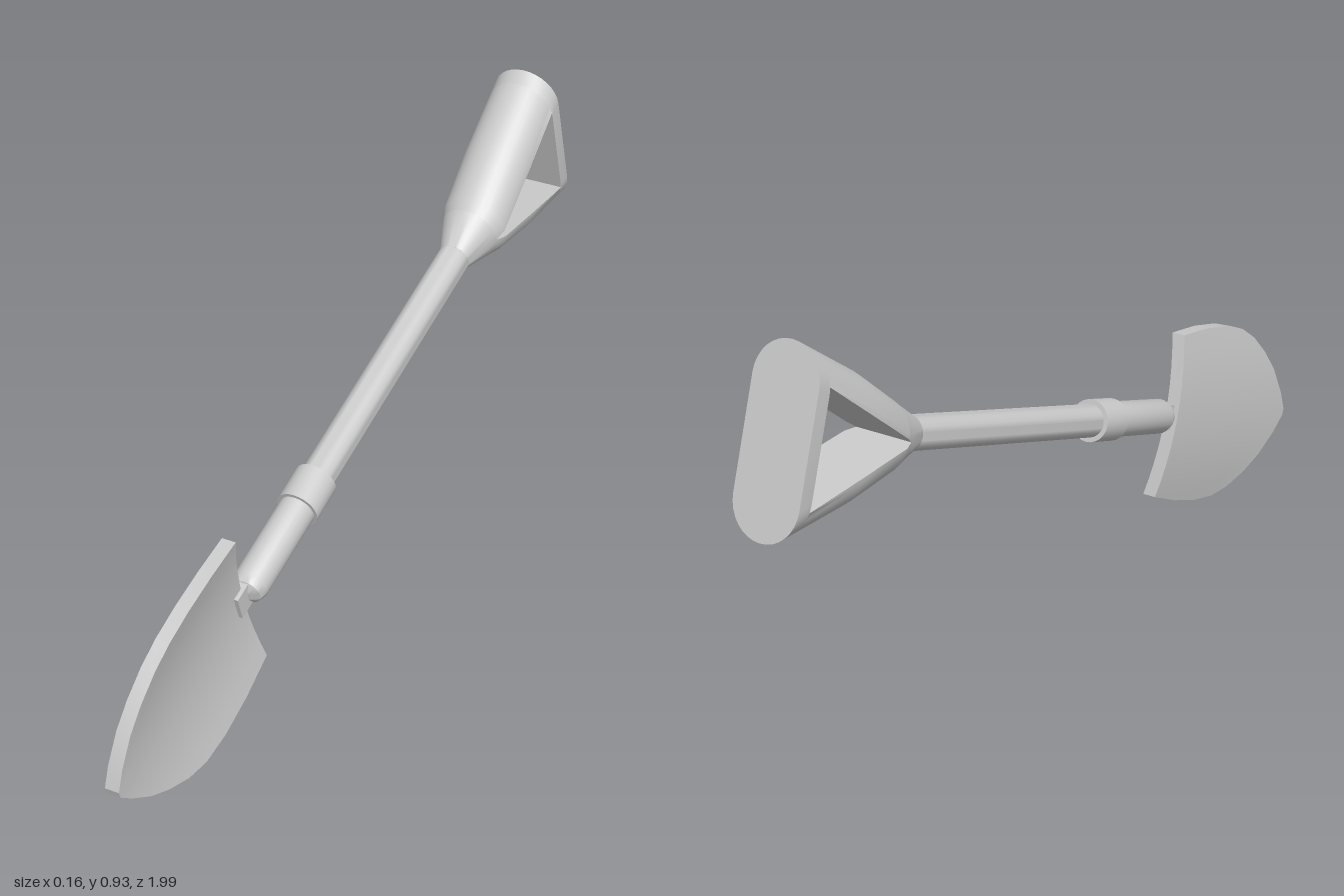
import * as THREE from 'three';
import { toCreasedNormals } from 'three/addons/utils/BufferGeometryUtils.js';

const material = new THREE.MeshStandardMaterial({ color: 0xcccccc });

function addMesh(parent, name, geometry, crease = 0.6) {
  const mesh = new THREE.Mesh(toCreasedNormals(geometry, crease), material);
  mesh.name = name;
  parent.add(mesh);
  return mesh;
}

// Skin equal-length rings of [x, y, z], counter-clockwise seen from +z, with z rising.
function loft(rings) {
  const n = rings[0].length;
  const index = [];
  for (let i = 0; i < rings.length - 1; i++) {
    for (let j = 0; j < n; j++) {
      const k = (j + 1) % n;
      const a = i * n + j, b = i * n + k, c = a + n, d = b + n;
      index.push(a, b, c, b, d, c);
    }
  }
  // caps: strips between opposite points of the ring
  const last = (rings.length - 1) * n;
  for (let j = 0; j < n / 2 - 1; j++) {
    const a = j, b = j + 1, c = n - 2 - j, d = n - 1 - j;
    index.push(a, c, b, a, d, c);
    index.push(last + a, last + b, last + c, last + a, last + c, last + d);
  }
  const geometry = new THREE.BufferGeometry();
  geometry.setAttribute('position', new THREE.Float32BufferAttribute(rings.flat(2), 3));
  geometry.setIndex(index);
  return geometry;
}

// Surface of revolution about the shovel's long axis: points are [radius, z].
function turned(points) {
  return new THREE.LatheGeometry(points.map(p => new THREE.Vector2(...p)), 24).rotateX(Math.PI / 2);
}

// Grip outline: z, half width, half height
const GRIP = [
  [-0.979, 0.082, 0.202], [-0.786, 0.082, 0.14], [-0.65, 0.08, 0.083],
  [-0.625, 0.07, 0.072], [-0.54, 0.038, 0.038],
];
const HOLE_FRONT = -0.625, HOLE_BACK = -0.943, HOLE_HALF = 0.123;

function gripSize(z) {
  let i = 0;
  while (i < GRIP.length - 2 && z > GRIP[i + 1][0]) i++;
  const [z0, a0, h0] = GRIP[i], [z1, a1, h1] = GRIP[i + 1];
  const t = (z - z0) / (z1 - z0);
  return [a0 + (a1 - a0) * t, h0 + (h1 - h0) * t];
}

// Rounded upper half of a grip section, from +x over the top to -x
function arch(z) {
  const [a, h] = gripSize(z);
  const cap = Math.min(a, h);
  const points = [];
  for (let i = 0; i <= 16; i++) {
    const t = Math.PI * i / 16;
    points.push([a * Math.cos(t), h - cap + cap * Math.sin(t), z]);
  }
  return points;
}

const fullSection = z => [...arch(z), ...arch(z).map(([x, y]) => [-x, -y, z])];

function legSection(z) {
  const a = gripSize(z)[0];
  const inner = HOLE_HALF * (HOLE_FRONT - z) / (HOLE_FRONT - HOLE_BACK);
  const top = arch(z).map(([x, y]) => [x, Math.max(y, inner), z]);
  return [[a, inner, z], ...top, [-a, inner, z], [0, inner, z]];
}

function buildGrip() {
  const grip = new THREE.Group();
  grip.name = 'grip';
  addMesh(grip, 'gripNeck', loft([HOLE_FRONT, -0.54].map(fullSection)));
  addMesh(grip, 'gripBar', loft([-0.979, HOLE_BACK].map(fullSection)));
  const leg = loft([HOLE_BACK, -0.786, -0.65, HOLE_FRONT].map(legSection));
  addMesh(grip, 'upperGripLeg', leg);
  addMesh(grip, 'lowerGripLeg', leg).rotation.z = Math.PI;
  return grip;
}

// Blade: curved cross-sections narrowing to a rounded tip
function buildBlade() {
  const stations = [
    [0.514, 0.196], [0.62, 0.211], [0.72, 0.216], [0.8, 0.209], [0.86, 0.188],
    [0.92, 0.151], [0.97, 0.109], [1.02, 0.05], [1.048, 0.008],
  ];
  const steps = 10, thickness = 0.033;
  return loft(stations.map(([z, half]) => {
    const concave = [], convex = [];
    for (let i = 0; i <= steps; i++) {
      const y = half * (2 * i / steps - 1);
      const x = -0.032 + 0.55 * y * y;
      concave.push([x + thickness, y, z]);
      convex.unshift([x, y, z]);
    }
    return [...concave, ...convex];
  }));
}

export function createModel() {
  const model = new THREE.Group();
  model.name = 'shovel';
  const tilted = new THREE.Group();
  tilted.name = 'tiltedShovel';
  tilted.position.y = 0.446;
  tilted.rotation.x = THREE.MathUtils.degToRad(17.7);
  model.add(tilted);

  tilted.add(buildGrip());
  addMesh(tilted, 'shaft', turned([[0, -0.56], [0.038, -0.56], [0.038, 0.2], [0, 0.2]]));
  addMesh(tilted, 'collar', turned([[0, 0.17], [0.049, 0.17], [0.049, 0.26], [0, 0.26]]));
  addMesh(tilted, 'socket', turned([[0, 0.2], [0.041, 0.2], [0.041, 0.478], [0.034, 0.497], [0.017, 0.508], [0, 0.511]]));

  // small hinge plate joining socket and blade
  addMesh(tilted, 'hinge', new THREE.BoxGeometry(0.03, 0.06, 0.07).translate(-0.004, 0, 0.51));
  addMesh(tilted, 'blade', buildBlade(), 0.5);
  return model;
}
